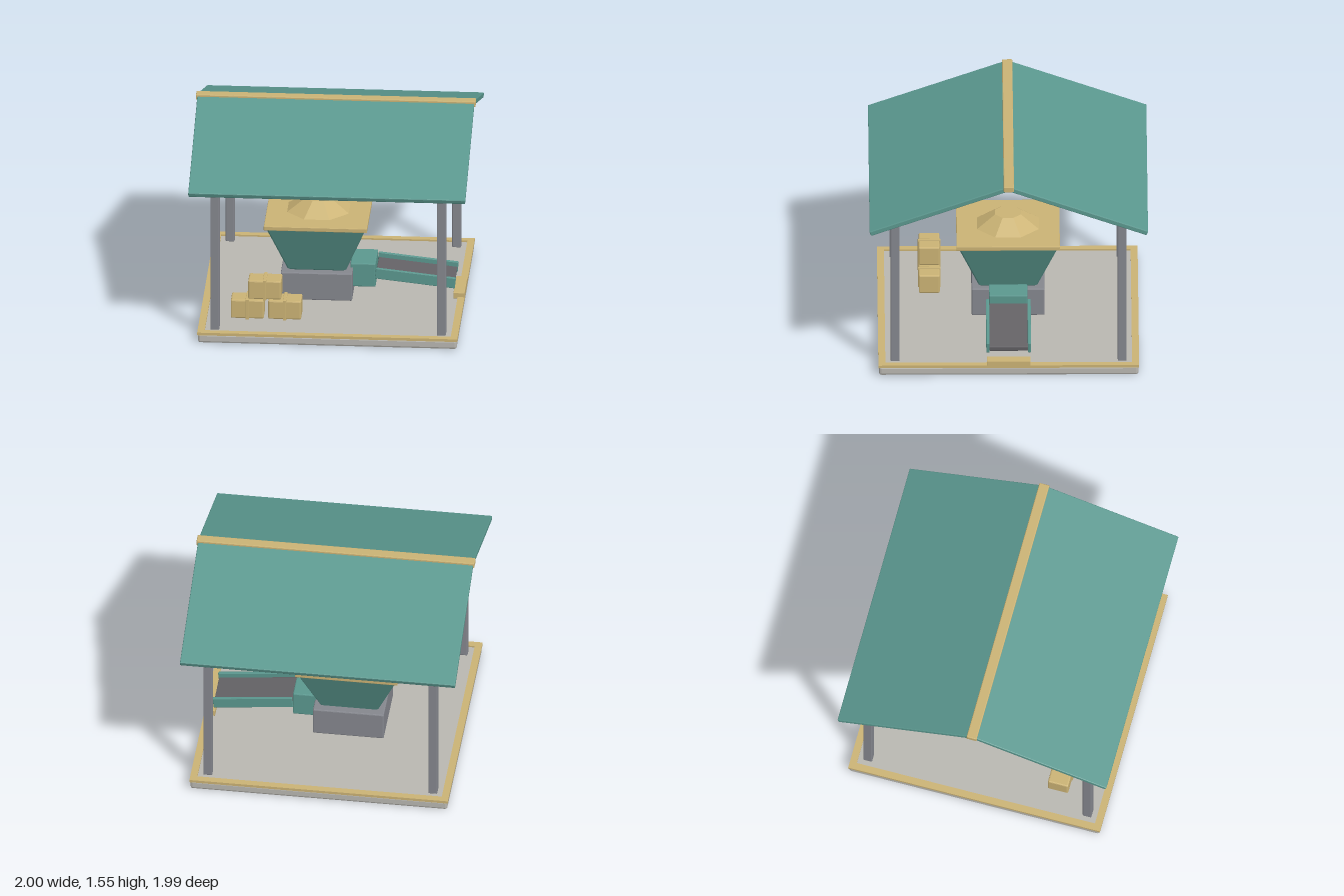
import * as THREE from 'three';
import { RoundedBoxGeometry } from 'three/addons/geometries/RoundedBoxGeometry.js';

const paint = (name, color) => {
  const m = new THREE.MeshStandardMaterial({ color, flatShading: true });
  m.name = name;
  return m;
};

// Closed solid lofted through chamfered squares: sections are [y, half width, chamfer]
function loftSquare(sections) {
  const pos = [], idx = [];
  for (const [y, h, c] of sections) {
    const k = h - c;
    for (const [x, z] of [[h, -k], [h, k], [k, h], [-k, h], [-h, k], [-h, -k], [-k, -h], [k, -h]]) pos.push(x, y, z);
  }
  const last = (sections.length - 1) * 8;
  for (let s = 0; s < last; s += 8) {
    for (let i = 0; i < 8; i++) {
      const j = (i + 1) % 8;
      idx.push(s + i, s + 8 + i, s + j, s + j, s + 8 + i, s + 8 + j);
    }
  }
  for (let i = 1; i < 7; i++) {
    idx.push(0, i, i + 1, last, last + i + 1, last + i);
  }
  const g = new THREE.BufferGeometry();
  g.setAttribute('position', new THREE.Float32BufferAttribute(pos, 3));
  g.setIndex(idx);
  g.computeVertexNormals();
  return g;
}

export function createModel() {
  const teal = paint('teal paint', 0x5b988f);
  const tan = paint('tan wood', 0xcbb375);
  const steel = paint('grey steel', 0x85878e);
  const concrete = paint('pale concrete', 0xb9b7b1);
  const rubber = paint('dark rubber', 0x646266);

  const model = new THREE.Group();
  model.name = 'millShelter';

  const add = (name, geo, mat, x = 0, y = 0, z = 0, parent = model) => {
    const m = new THREE.Mesh(geo, mat);
    m.name = name;
    m.position.set(x, y, z);
    parent.add(m);
    return m;
  };
  // Box with chamfered edges
  const box = (name, mat, [w, h, d], [x, y, z], r = 0.006, parent = model) =>
    add(name, new RoundedBoxGeometry(w, h, d, 1, r), mat, x, y, z, parent);
  const group = (name, x = 0, y = 0, z = 0) => {
    const g = new THREE.Group();
    g.name = name;
    g.position.set(x, y, z);
    model.add(g);
    return g;
  };

  // Platform and its raised edging
  box('platform', concrete, [1.85, 0.07, 1.85], [0, 0.035, 0], 0.016);
  for (const s of [-1, 1]) {
    add('edgingLong', new THREE.BoxGeometry(1.86, 0.02, 0.05), tan, 0, 0.072, s * 0.905);
    add('edgingSide', new THREE.BoxGeometry(0.05, 0.02, 1.76), tan, s * 0.905, 0.072, 0);
  }
  box('threshold', tan, [0.08, 0.045, 0.31], [0.89, 0.0925, 0], 0.003);

  // Posts and the beams that join them
  for (const z of [-0.81, 0.81]) {
    for (const x of [-0.81, 0.81]) box('post', steel, [0.064, 1.13, 0.064], [x, 0.635, z]);
    box('beam', steel, [1.6, 0.045, 0.05], [0, 1.175, z]);
  }

  // Gable roof
  const pitch = 0.346;
  for (const s of [-1, 1]) {
    const slope = box('roofSlope', teal, [1.98, 0.036, 1.05], [0, 1.347, s * 0.495]);
    slope.rotation.x = s * pitch;
  }
  box('ridgeCap', tan, [2, 0.042, 0.074], [0, 1.526, 0]);

  // Hopper machine with heaped grain
  const mill = group('mill', -0.123, 0, 0);
  box('millBase', steel, [0.51, 0.21, 0.52], [0, 0.178, 0], 0.008, mill);
  add('hopper', loftSquare([[0.28, 0.195, 0.012], [0.292, 0.21, 0.012], [0.655, 0.354, 0.012]]), teal, 0, 0, 0, mill);
  box('hopperRim', tan, [0.738, 0.032, 0.738], [0, 0.664, 0], 0.004, mill);
  const heap = add('grainHeap', new THREE.CylinderGeometry(0.1, 0.245, 0.095, 8), tan, 0, 0.7235, 0, mill);
  heap.rotation.y = Math.PI / 8;

  // Outlet and sloping chute
  box('outlet', teal, [0.18, 0.18, 0.275], [0.202, 0.225, 0], 0.008);
  const chute = group('chute', 0.578, 0.219, 0);
  chute.rotation.z = -0.108;
  box('belt', rubber, [0.565, 0.035, 0.275], [0, -0.012, 0], 0.004, chute);
  for (const s of [-1, 1]) box('chuteRail', teal, [0.575, 0.08, 0.024], [0, 0, s * 0.148], 0.005, chute);

  // Stacked bales, each with a band around it
  for (const [x, y] of [[-0.592, 0.147], [-0.325, 0.147], [-0.468, 0.298]]) {
    const bale = group('bale', x, y, 0.56);
    box('baleBody', tan, [0.236, 0.142, 0.15], [0, 0, 0], 0.01, bale);
    box('baleBand', tan, [0.024, 0.154, 0.162], [0, 0, 0], 0.003, bale);
  }

  return model;
}
